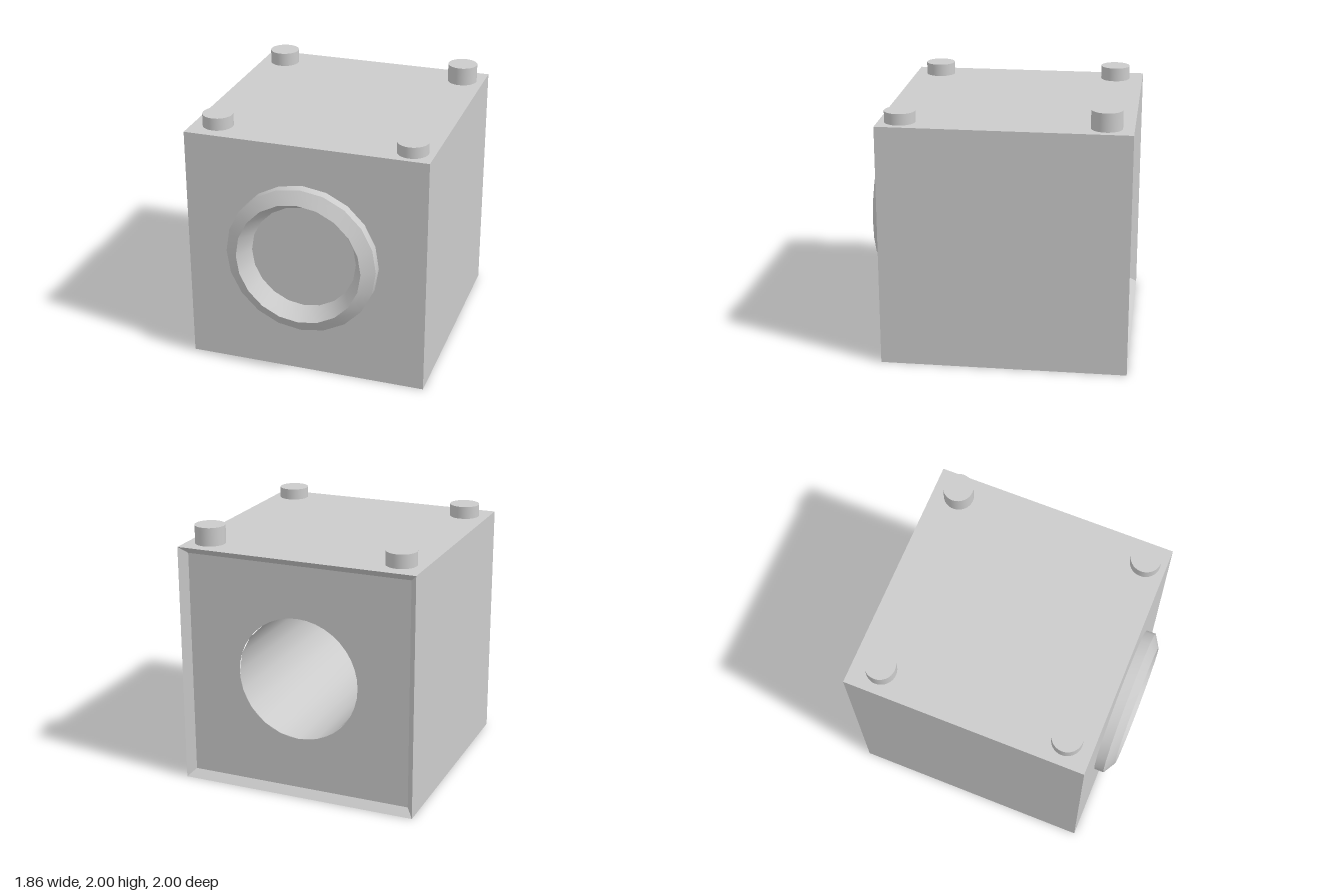
import * as THREE from 'three';
import { toCreasedNormals } from 'three/addons/utils/BufferGeometryUtils.js';

const SIDES = 20;
const HALF = 0.93;      // half width of the cube
const BACK = -1, FRONT = 0.865;
const PANEL_Z = -0.94, PANEL_HALF = 0.875;
const HOLE_R = 0.475;

export function createModel() {
  const group = new THREE.Group();
  const material = new THREE.MeshStandardMaterial({ color: 0xcccccc });

  const add = (name, geometry, x, y, z) => {
    const mesh = new THREE.Mesh(geometry, material);
    mesh.name = name;
    mesh.position.set(x, y, z);
    group.add(mesh);
    return mesh;
  };

  // Revolves [radius, z] pairs around the z axis
  const turn = (profile, sides, startAngle = 0) => {
    const points = profile.map(([r, z]) => new THREE.Vector2(r, z));
    const geometry = new THREE.LatheGeometry(points, sides);
    geometry.rotateY(startAngle).rotateX(Math.PI / 2);
    return toCreasedNormals(geometry, 0.5);
  };

  // Cube shell: four-sided turning with a bevelled lip around the back
  const d = Math.SQRT2;
  add('body', turn([
    [PANEL_HALF * d, PANEL_Z], [HALF * d, BACK], [HALF * d, FRONT], [0, FRONT],
  ], 4, Math.PI / 4), 0, HALF, 0);

  // Recessed back panel with a round opening
  const panel = new THREE.Shape();
  const p = PANEL_HALF;
  panel.moveTo(-p, -p).lineTo(p, -p).lineTo(p, p).lineTo(-p, p).closePath();
  const hole = new THREE.Path();
  hole.absarc(0, 0, HOLE_R, 0, Math.PI * 2, true);
  panel.holes.push(hole);
  add('backPanel', new THREE.ShapeGeometry(panel, SIDES).rotateY(Math.PI), 0, HALF, PANEL_Z);

  // Inside wall and end of the deep bore
  add('bore', turn([[0, 0.8], [HOLE_R, 0.8], [HOLE_R, PANEL_Z]], SIDES), 0, HALF, 0);

  // Bevelled ring on the front, dished inwards
  add('frontRing', turn([
    [0.583, 0.85], [0.583, 0.94], [0.485, 1], [0.405, 0.86],
  ], SIDES), -0.012, 0.972, 0);

  // Four pegs on top: x, z, top height
  const pegs = [
    ['pegFrontLeft', 0.765, 0.705, 1.945],
    ['pegFrontRight', -0.74, 0.663, 1.955],
    ['pegBackLeft', 0.76, -0.8, 2],
    ['pegBackRight', -0.742, -0.78, 1.965],
  ];
  for (const [name, x, z, top] of pegs) {
    const bottom = 1.8;
    add(name, new THREE.CylinderGeometry(0.115, 0.115, top - bottom, 32), x, (top + bottom) / 2, z);
  }
  return group;
}
